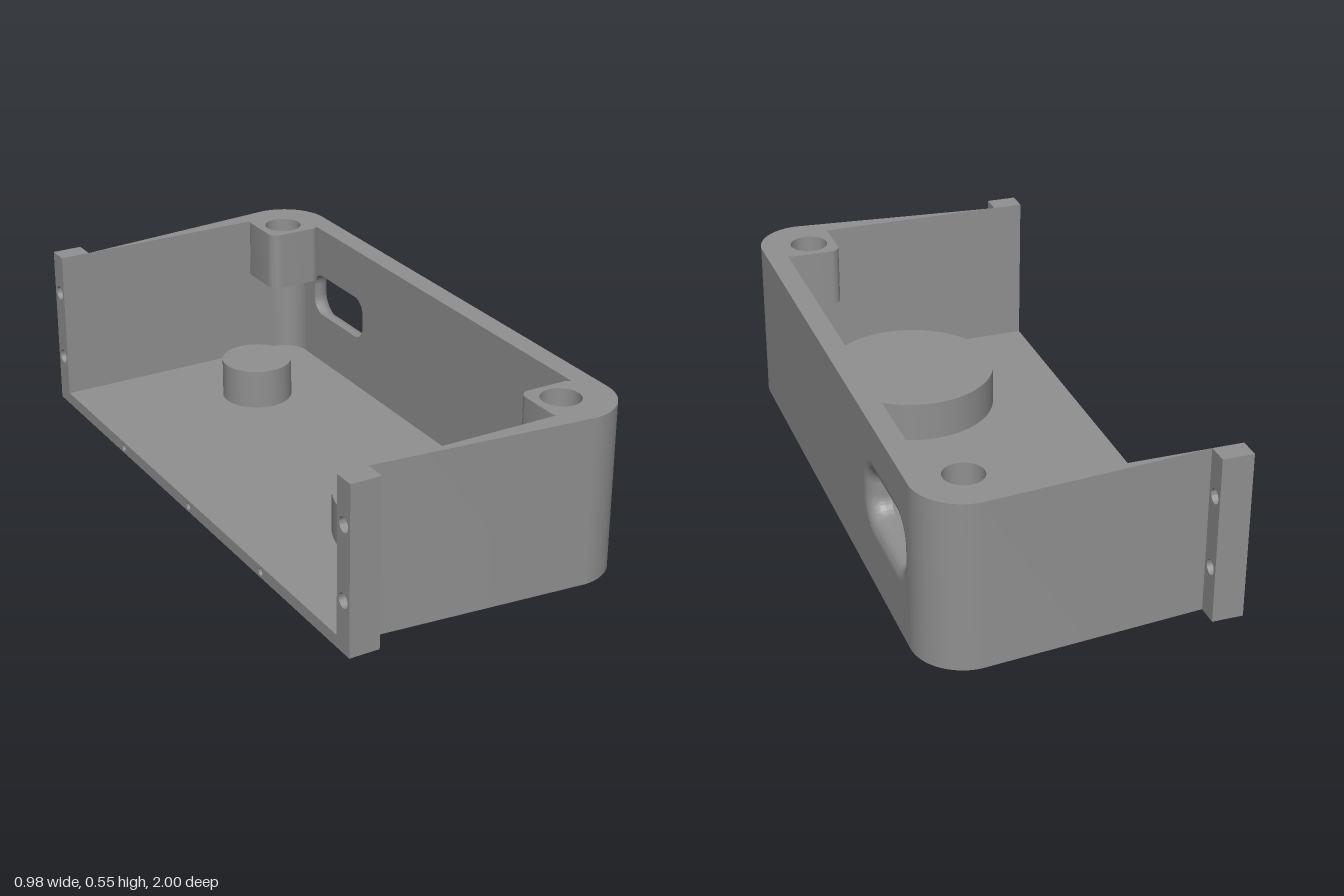
import * as THREE from 'three';
import { toCreasedNormals } from 'three/addons/utils/BufferGeometryUtils.js';

const H = 0.55, FLOOR = 0.04, WALL = 0.07, R = 0.16;
const OUT_X = 0.49, IN_X = OUT_X - WALL, IN_Z = 1 - WALL, CUT_X = -0.39;
const grey = new THREE.MeshStandardMaterial({ color: 0x909090 });
grey.name = 'grey plastic';

function polygon(points) {
  return new THREE.Shape(points.map(([x, y]) => new THREE.Vector2(x, y)));
}

// Rounded rectangle centred on (cx, cy)
function roundRect(cx, cy, w, h, r) {
  const s = new THREE.Shape();
  const x = w / 2 - r, y = h / 2 - r;
  s.absarc(cx + x, cy + y, r, 0, Math.PI / 2);
  s.absarc(cx - x, cy + y, r, Math.PI / 2, Math.PI);
  s.absarc(cx - x, cy - y, r, Math.PI, Math.PI * 1.5);
  s.absarc(cx + x, cy - y, r, Math.PI * 1.5, Math.PI * 2);
  s.closePath();
  return s;
}

function circle(x, y, r) {
  return new THREE.Path().absarc(x, y, r, 0, Math.PI * 2);
}

function extrude(shape, depth) {
  return new THREE.ExtrudeGeometry(shape, { depth, bevelEnabled: false, curveSegments: 20 });
}

// Plan shape (x, -z) raised from y0 to y1
function upright(shape, y0, y1) {
  return toCreasedNormals(extrude(shape, y1 - y0).rotateX(-Math.PI / 2).translate(0, y0, 0), 0.6);
}

// Side shape (-z, y) pushed from x0 to x1
function sideways(shape, x0, x1) {
  return toCreasedNormals(extrude(shape, x1 - x0).rotateY(Math.PI / 2).translate(x0, 0, 0), 0.6);
}

// Outline of the port, grown outwards by an offset
function portOutline(grow) {
  return roundRect(0.607, 0.3, 0.335 + 2 * grow, 0.15 + 2 * grow, 0.055 + grow);
}

// Quarter-round lip that widens the port towards the outside
function portLip(radius) {
  const steps = 10, pos = [], index = [];
  let n = 0;
  for (let i = 0; i <= steps; i++) {
    const t = (i / steps) * Math.PI / 2;
    const ring = portOutline(radius * (1 - Math.cos(t))).getPoints(12);
    n = ring.length;
    for (const p of ring) pos.push(OUT_X - radius + radius * Math.sin(t), p.y, -p.x);
  }
  for (let i = 0; i < steps; i++) {
    for (let j = 0; j < n; j++) {
      const a = i * n + j, b = i * n + (j + 1) % n;
      index.push(a, a + n, b, b, a + n, b + n);
    }
  }
  const g = new THREE.BufferGeometry();
  g.setAttribute('position', new THREE.Float32BufferAttribute(pos, 3));
  g.setIndex(index);
  return toCreasedNormals(g, 0.8);
}

export function createModel() {
  const model = new THREE.Group();
  model.name = 'enclosureHalf';
  const add = (name, geometry, material = grey) => {
    const m = new THREE.Mesh(geometry, material);
    m.name = name;
    model.add(m);
    return m;
  };

  // Floor
  add('floor', upright(polygon([[CUT_X, -IN_Z], [IN_X, -IN_Z], [IN_X, IN_Z], [CUT_X, IN_Z]]), 0, FLOOR));

  // End walls with rounded corners, and the screw bosses in those corners
  for (const s of [1, -1]) {
    const side = s > 0 ? 'back' : 'front';
    const cx = OUT_X - R, cz = s * (1 - R);
    const wall = new THREE.Shape();
    wall.moveTo(CUT_X, s);
    wall.absarc(cx, cz, R, s * Math.PI / 2, 0, s > 0);
    wall.absarc(cx, cz, R - WALL, 0, s * Math.PI / 2, s < 0);
    wall.lineTo(CUT_X, s * IN_Z);
    wall.closePath();
    add(side + 'Wall', upright(wall, 0, H));

    const boss = roundRect(0.3325, s * 0.8475, 0.195, 0.195, 0.035);
    boss.holes.push(circle(0.325, s * 0.837, 0.063));
    add(side + 'ScrewBoss', upright(boss, 0.35, H));
  }

  // Long wall with the port opening
  const z = 1 - R;
  const panel = (grow) => {
    const p = polygon([[-z, 0], [z, 0], [z, H], [-z, H]]);
    p.holes.push(portOutline(grow));
    return p;
  };
  const lip = 0.05;
  add('longWallInner', sideways(panel(0), IN_X, OUT_X - lip));
  add('longWallOuter', sideways(panel(lip), OUT_X - lip, OUT_X));
  const lipMaterial = grey.clone();
  lipMaterial.name = 'grey plastic lip';
  lipMaterial.side = THREE.DoubleSide;
  add('portLip', portLip(lip), lipMaterial);

  // Open edge with blind alignment holes
  const edge = polygon([[-1, 0], [1, 0], [1, H], [IN_Z, H], [IN_Z, FLOOR], [-IN_Z, FLOOR], [-IN_Z, H], [-1, H]]);
  for (const s of [-1, 1]) {
    for (const y of [0.17, 0.41]) edge.holes.push(circle(s * 0.965, y, 0.024));
  }
  for (const a of [-0.48, 0, 0.48]) edge.holes.push(circle(a, 0.019, 0.012));
  add('openEdge', sideways(edge, -OUT_X, CUT_X));

  // Round pads on the floor
  const pad = (name, x, zz, r) => {
    const h = 0.135;
    add(name, new THREE.CylinderGeometry(r, r, h, 64)).position.set(x, FLOOR + h / 2, zz);
  };
  pad('largePad', 0.055, 0.535, 0.285);
  pad('smallPad', 0.085, -0.6, 0.12);

  return model;
}
